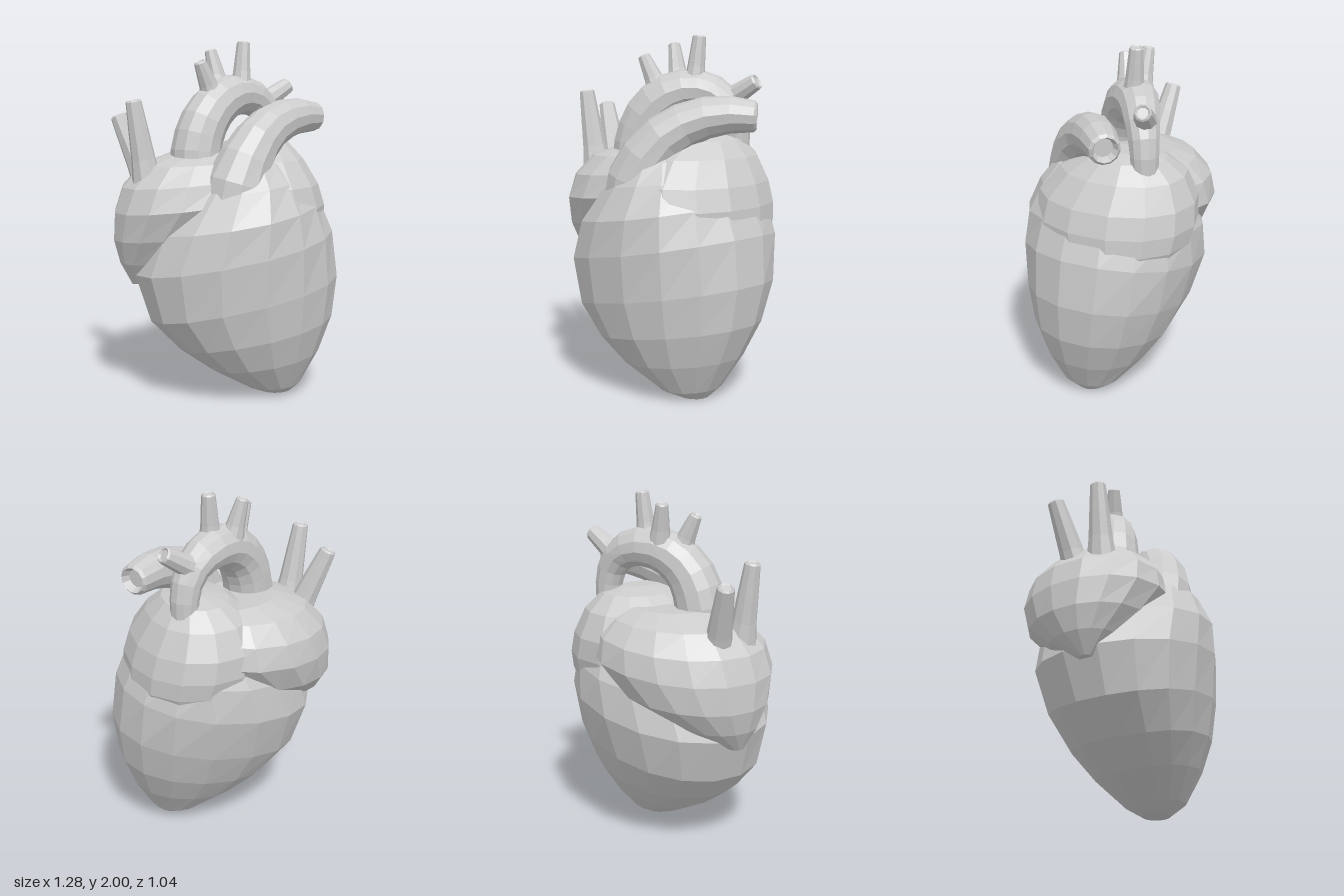
import * as THREE from 'three';

const material = new THREE.MeshStandardMaterial({ color: 0xcccccc, flatShading: true });
const { lerp, clamp } = THREE.MathUtils;

// Skin a list of closed rings (each an array of Vector3) and cap both ends.
function loft(rings) {
  const sides = rings[0].length, pos = [], index = [];
  rings.forEach((ring) => ring.forEach((p) => pos.push(p.x, p.y, p.z)));
  for (let i = 0; i < rings.length - 1; i++) {
    for (let j = 0; j < sides; j++) {
      const k = (j + 1) % sides;
      const a = i * sides + j, b = a + sides, c = i * sides + k, d = c + sides;
      index.push(a, b, c, b, d, c);
    }
  }
  for (const end of [0, rings.length - 1]) {
    const mid = new THREE.Vector3();
    rings[end].forEach((p) => mid.addScaledVector(p, 1 / sides));
    const centre = pos.length / 3;
    pos.push(mid.x, mid.y, mid.z);
    for (let j = 0; j < sides; j++) {
      const a = end * sides + j, b = end * sides + (j + 1) % sides;
      if (end === 0) index.push(centre, a, b); else index.push(centre, b, a);
    }
  }
  const geo = new THREE.BufferGeometry();
  geo.setAttribute('position', new THREE.Float32BufferAttribute(pos, 3));
  geo.setIndex(index);
  const flat = geo.toNonIndexed();
  flat.computeVertexNormals();
  return flat;
}

// Chamber from rows [y, xMin, xMax, zMin, zMax], slightly fuller than an ellipse.
// Its rings lean up towards +x by the given tilt, fading out at both ends,
// and skew shears each ring in z along x.
function chamber(rows, sides, tilt, skew) {
  const last = rows.length - 1, fit = 1 / Math.cos(Math.PI / sides);
  const full = (v) => Math.sign(v) * Math.abs(v) ** 0.95 * fit;
  const pointAt = (height, a) => {
    const y = clamp(height, rows[0][0], rows[last][0]);
    const i = Math.max(1, rows.findIndex((r) => r[0] >= y));
    const t = (y - rows[i - 1][0]) / (rows[i][0] - rows[i - 1][0]);
    const [, x0, x1, z0, z1] = rows[i].map((v, k) => lerp(rows[i - 1][k], v, t));
    const dx = ((x1 - x0) / 2) * full(Math.cos(a));
    const dz = ((z1 - z0) / 2) * full(Math.sin(a));
    return new THREE.Vector3((x0 + x1) / 2 + dx, y, (z0 + z1) / 2 + dz + skew * dx);
  };
  return loft(rows.map((row, i) => Array.from({ length: sides }, (_, j) => {
    const a = ((j + 0.5) / sides) * Math.PI * 2;
    const lean = tilt * Math.sin((Math.PI * i) / last) * ((row[2] - row[1]) / 2) * Math.cos(a);
    return pointAt(row[0] + lean, a);
  })));
}

// Tapering vessel through rows [x, y, z, radius]; dish sets how deep its mouth is.
function vessel(rows, steps, sides, dish) {
  const curve = new THREE.CatmullRomCurve3(rows.map((r) => new THREE.Vector3(r[0], r[1], r[2])));
  const frames = curve.computeFrenetFrames(steps, false);
  const ringAt = (i, r, shift) => Array.from({ length: sides }, (_, j) => {
    const a = (j / sides) * Math.PI * 2;
    return curve.getPointAt(i / steps)
      .addScaledVector(frames.normals[i], Math.cos(a) * r)
      .addScaledVector(frames.binormals[i], -Math.sin(a) * r)
      .addScaledVector(frames.tangents[i], shift);
  });
  const rings = [];
  for (let i = 0; i <= steps; i++) {
    const t = curve.getUtoTmapping(i / steps) * (rows.length - 1);
    const k = Math.min(Math.floor(t), rows.length - 2);
    rings.push(ringAt(i, lerp(rows[k][3], rows[k + 1][3], t - k), 0));
  }
  const r = rows[rows.length - 1][3];
  rings.push(ringAt(steps, r * 0.82, r * 0.18), ringAt(steps, r * 0.6, -r * dish));
  return loft(rings);
}

export function createModel() {
  const model = new THREE.Group();
  const add = (name, geometry) => {
    const mesh = new THREE.Mesh(geometry, material);
    mesh.name = name;
    model.add(mesh);
  };

  // Main body, tapering to an off-centre apex
  add('ventricles', chamber([
    [0.0, 0.21, 0.38, -0.02, 0.14],
    [0.05, 0.1, 0.43, -0.1, 0.24],
    [0.2, -0.17, 0.515, -0.23, 0.36],
    [0.36, -0.36, 0.59, -0.34, 0.44],
    [0.56, -0.51, 0.64, -0.43, 0.49],
    [0.82, -0.51, 0.64, -0.505, 0.515],
    [1.02, -0.38, 0.585, -0.5, 0.505],
    [1.2, -0.21, 0.48, -0.43, 0.42],
    [1.32, -0.1, 0.36, -0.3, 0.33],
    [1.38, 0.0, 0.26, -0.15, 0.24],
  ], 16, 0.2, -0.08));

  // Upper chambers wrapping round the back
  add('rightAtrium', chamber([
    [0.65, -0.53, -0.45, 0.05, 0.13],
    [0.78, -0.6, -0.22, -0.18, 0.23],
    [0.93, -0.635, 0.08, -0.39, 0.33],
    [1.1, -0.615, 0.3, -0.485, 0.39],
    [1.23, -0.56, 0.3, -0.465, 0.35],
    [1.33, -0.45, 0.24, -0.38, 0.27],
    [1.385, -0.28, 0.16, -0.27, 0.15],
  ], 16, 0.1, -0.18));
  add('leftAtrium', chamber([
    [0.86, -0.06, 0.52, -0.44, 0.3],
    [0.98, -0.13, 0.57, -0.49, 0.35],
    [1.08, -0.17, 0.565, -0.51, 0.39],
    [1.2, -0.18, 0.53, -0.5, 0.37],
    [1.34, -0.1, 0.45, -0.44, 0.25],
    [1.43, 0.02, 0.37, -0.34, 0.11],
    [1.46, 0.14, 0.28, -0.22, 0.0],
  ], 14, 0, 0));

  // Great vessels
  add('aorticArch', vessel([
    [-0.16, 1.22, 0.07, 0.15], [-0.16, 1.42, 0.06, 0.142], [-0.1, 1.58, 0.02, 0.135],
    [0.0, 1.675, -0.06, 0.125], [0.11, 1.695, -0.15, 0.113], [0.22, 1.645, -0.22, 0.098],
    [0.28, 1.53, -0.26, 0.082], [0.29, 1.3, -0.27, 0.07],
  ], 14, 12, 0));
  add('pulmonaryTrunk', vessel([
    [0.04, 0.85, 0.17, 0.26], [0.04, 1.18, 0.25, 0.185], [0.125, 1.395, 0.205, 0.14],
    [0.25, 1.525, 0.08, 0.123], [0.4, 1.575, -0.045, 0.107], [0.53, 1.57, -0.155, 0.085],
  ], 9, 12, 0.3));

  // Small branches: base and tip with their radii
  const branches = {
    archBranchRight: [[-0.07, 1.7, 0.0, 0.068], [-0.14, 1.88, 0.045, 0.035]],
    archBranchMiddle: [[-0.02, 1.74, -0.11, 0.065], [-0.07, 1.945, -0.125, 0.034]],
    archBranchLeft: [[0.105, 1.75, -0.12, 0.06], [0.12, 1.99, -0.14, 0.038]],
    archBranchSide: [[0.24, 1.64, -0.25, 0.068], [0.4, 1.745, -0.305, 0.047]],
    frontVein: [[-0.435, 1.2, 0.15, 0.088], [-0.51, 1.67, 0.165, 0.044]],
    backVein: [[-0.43, 1.18, 0.0, 0.088], [-0.595, 1.58, -0.055, 0.047]],
  };
  for (const [name, rows] of Object.entries(branches)) add(name, vessel(rows, 3, 9, 0));

  return model;
}
